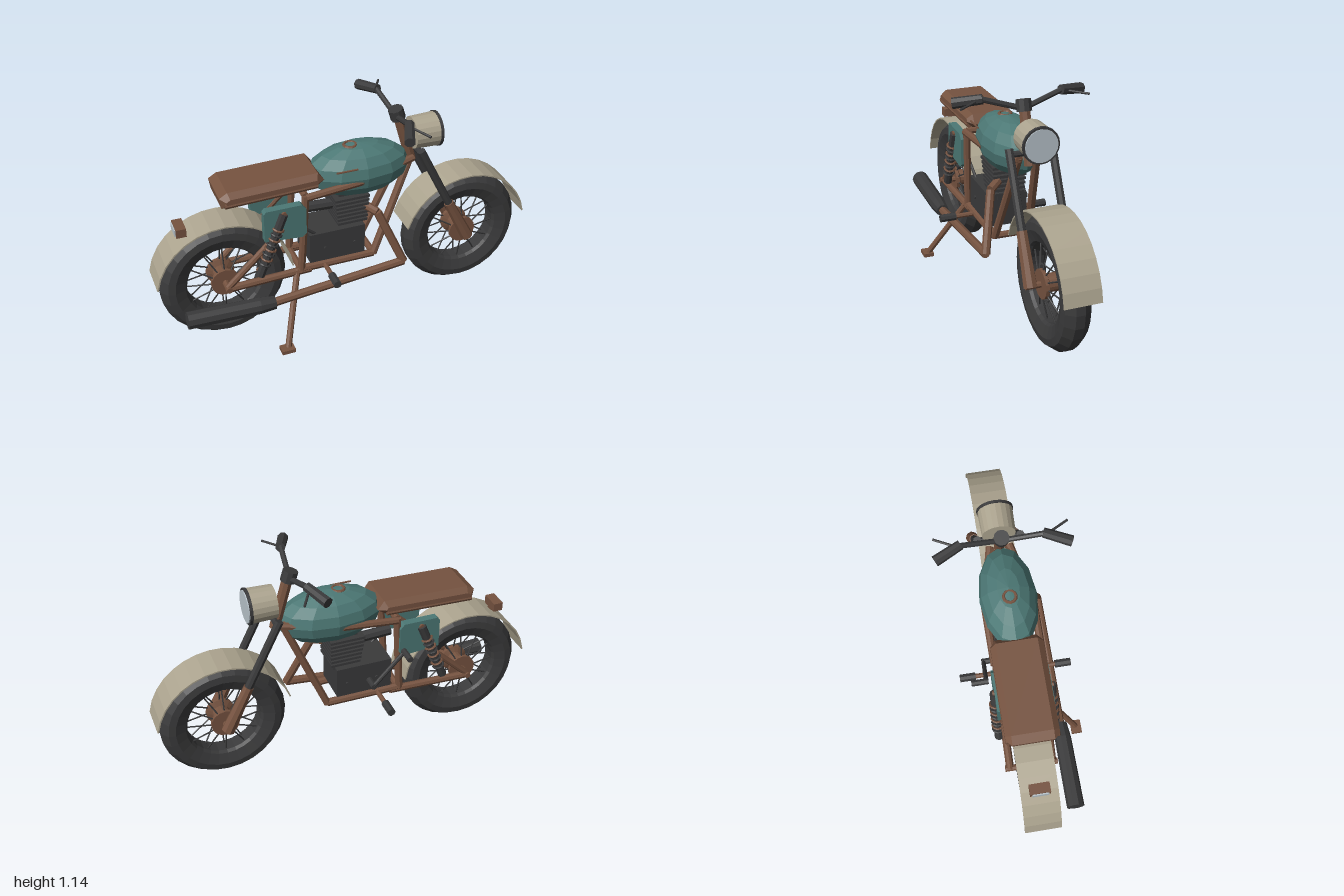
import * as THREE from 'three';

const mat = (name, color, side = THREE.FrontSide) => {
  const m = new THREE.MeshStandardMaterial({ color, flatShading: true, side });
  m.name = name;
  return m;
};

export function createModel() {
  const root = new THREE.Group();
  root.name = 'motorcycle';
  const brown = mat('brown metal', 0x765340);
  const dark = mat('dark rubber', 0x3a3a3b);
  const teal = mat('teal paint', 0x4c7875);
  const cream = mat('cream paint', 0xaca48f, THREE.DoubleSide);
  const glass = mat('pale glass', 0xb9c4cb);
  const V = (p) => new THREE.Vector3(...p);

  const add = (name, geo, material, pos = [0, 0, 0], parent = root) => {
    const m = new THREE.Mesh(geo, material);
    m.name = name;
    m.position.set(...pos);
    parent.add(m);
    return m;
  };
  const box = (name, size, material, pos, parent) =>
    add(name, new THREE.BoxGeometry(...size), material, pos, parent);
  // straight rod between two points
  const rod = (name, a, b, r, material, r2 = r, parent = root, sides = 8) => {
    const A = V(a), B = V(b), d = B.clone().sub(A);
    const m = add(name, new THREE.CylinderGeometry(r2, r, d.length(), sides), material,
      A.clone().add(B).multiplyScalar(0.5).toArray(), parent);
    m.quaternion.setFromUnitVectors(new THREE.Vector3(0, 1, 0), d.normalize());
    return m;
  };
  const pipe = (name, pts, r, material) => {
    for (let i = 0; i + 1 < pts.length; i++) rod(name, pts[i], pts[i + 1], r, material);
  };
  const flip = (p, s) => [p[0], p[1], p[2] * s];
  // solid of revolution around z; profile points are [radius, z]
  const latheZ = (name, pts, seg, material, parent) => {
    const g = new THREE.LatheGeometry(pts.map(([r, z]) => new THREE.Vector2(r, z)), seg);
    g.rotateX(Math.PI / 2);
    return add(name, g, material, [0, 0, 0], parent);
  };

  // wheels and fenders
  for (const [x, label, from, to] of [[0.652, 'front', 10, 163], [-0.652, 'rear', 6, 170]]) {
    const wheel = new THREE.Group();
    wheel.name = label + 'Wheel';
    wheel.position.set(x, 0.332, 0);
    root.add(wheel);
    latheZ('tire', [[0.2, -0.05], [0.255, -0.07], [0.29, -0.064], [0.322, -0.022], [0.322, 0.022],
      [0.29, 0.064], [0.255, 0.07], [0.2, 0.05], [0.19, 0.035], [0.19, -0.035], [0.2, -0.05]], 28, dark, wheel);
    latheZ('hub', [[0, -0.06], [0.073, -0.06], [0.073, -0.042], [0.045, -0.03], [0.045, 0.03],
      [0.073, 0.042], [0.073, 0.06], [0, 0.06]], 16, brown, wheel);
    rod('axle', [0, 0, -0.135], [0, 0, 0.135], 0.016, brown, 0.016, wheel);
    for (const s of [-1, 1]) for (let i = 0; i < 12; i++) {
      const a = i * Math.PI / 6, c = Math.cos(a), n = Math.sin(a);
      rod('spoke', [c * 0.06, n * 0.06, s * 0.05], [c * 0.195, n * 0.195, s * 0.02], 0.004, dark, 0.004, wheel, 5);
    }
    const arc = new THREE.Shape();
    const a0 = THREE.MathUtils.degToRad(from), a1 = THREE.MathUtils.degToRad(to), N = 14;
    for (let i = 0; i <= 2 * N + 1; i++) {
      const outer = i <= N, t = a0 + (a1 - a0) * (outer ? i : 2 * N + 1 - i) / N, r = outer ? 0.35 : 0.343;
      arc[i ? 'lineTo' : 'moveTo'](r * Math.cos(t), r * Math.sin(t));
    }
    add(label + 'Fender', new THREE.ExtrudeGeometry(arc, { depth: 0.184, bevelEnabled: false }), cream,
      [x, 0.332, -0.092]);
  }

  // fuel tank: tapered ellipsoid with a filler ring and a side trim
  const tankGeo = new THREE.SphereGeometry(1, 12, 8);
  const p = tankGeo.attributes.position;
  for (let i = 0; i < p.count; i++) {
    const low = p.getY(i) < 0;
    p.setXYZ(i, p.getX(i) * 0.272, p.getY(i) * (low ? 0.145 : 0.135), p.getZ(i) * 0.143);
  }
  add('fuelTank', tankGeo, teal, [0.075, 0.82, 0]);
  const cap = add('fillerRing', new THREE.TorusGeometry(0.03, 0.008, 6, 12), brown, [0.03, 0.947, 0]);
  cap.rotation.x = Math.PI / 2;
  box('tankTrim', [0.11, 0.006, 0.008], brown, [-0.035, 0.885, 0.137]);

  // seat: side outline with bevelled edges
  const seat = new THREE.Shape();
  [[-0.632, 0.82], [-0.19, 0.838], [-0.175, 0.848], [-0.185, 0.862], [-0.615, 0.85], [-0.635, 0.838]]
    .forEach(([x, y], i) => seat[i ? 'lineTo' : 'moveTo'](x, y));
  add('seat', new THREE.ExtrudeGeometry(seat, { depth: 0.2, bevelThickness: 0.028, bevelSize: 0.025,
    bevelSegments: 1 }), brown, [0, 0, -0.1]);

  // tail light
  box('tailLight', [0.05, 0.045, 0.1], brown, [-0.845, 0.667, 0]);
  box('tailLens', [0.008, 0.034, 0.08], glass, [-0.872, 0.667, 0]);
  box('tailLightBracket', [0.03, 0.03, 0.03], brown, [-0.835, 0.64, 0]);

  // engine
  box('crankcase', [0.295, 0.165, 0.2], dark, [-0.073, 0.448, 0]);
  box('cylinderBarrel', [0.13, 0.2, 0.12], dark, [0.015, 0.61, 0]);
  for (let i = 0; i < 7; i++) {
    const w = 0.158 + i * 0.004;
    box('coolingFin', [w, 0.013, w], dark, [0.018 - i * 0.001, 0.546 + i * 0.024, 0]);
  }
  for (const x of [-0.14, 0.02]) {
    rod('caseBolt', [x, 0.44, 0.095], [x, 0.44, 0.107], 0.008, dark);
    rod('caseBolt', [x, 0.44, -0.095], [x, 0.44, -0.107], 0.008, dark);
  }
  rod('intake', [-0.05, 0.63, 0], [-0.25, 0.64, 0], 0.028, dark);

  // paired parts
  const panel = new THREE.Shape();
  [[-0.462, 0.58], [-0.27, 0.565], [-0.248, 0.585], [-0.248, 0.725], [-0.27, 0.75], [-0.45, 0.75], [-0.462, 0.735]]
    .forEach(([x, y], i) => panel[i ? 'lineTo' : 'moveTo'](x, y));
  for (const s of [-1, 1]) {
    const bar = (name, a, b, r, m, r2 = r) => rod(name, flip(a, s), flip(b, s), r, m, r2);
    // frame
    bar('topRail', [-0.24, 0.77, 0.118], [0.05, 0.8, 0.12], 0.019, brown);
    bar('topRail', [0.05, 0.8, 0.12], [0.35, 0.835, 0.05], 0.019, brown);
    bar('seatRail', [-0.64, 0.815, 0.115], [-0.18, 0.83, 0.115], 0.016, brown);
    bar('seatPost', [-0.24, 0.78, 0.11], [-0.268, 0.335, 0.1], 0.02, brown);
    bar('downTube', [0.335, 0.84, 0.045], [0.125, 0.335, 0.09], 0.02, brown);
    bar('lowerRail', [0.125, 0.338, 0.09], [-0.268, 0.345, 0.1], 0.02, brown);
    bar('swingArm', [-0.22, 0.335, 0.1], [-0.652, 0.328, 0.11], 0.02, brown);
    bar('rearStay', [-0.652, 0.336, 0.11], [-0.25, 0.72, 0.11], 0.017, brown);
    // side panel
    add('sidePanel', new THREE.ExtrudeGeometry(panel, { depth: 0.04, bevelEnabled: false }), teal,
      [0, 0, s > 0 ? 0.1 : -0.14]);
    // rear shock with coils
    const top = [-0.362, 0.72, 0.14], foot = [-0.495, 0.39, 0.14];
    bar('shockBody', foot, top, 0.023, dark);
    bar('shockMount', [-0.362, 0.72, 0.1], [-0.362, 0.72, 0.15], 0.014, brown);
    bar('shockMount', [-0.49, 0.4, 0.1], [-0.49, 0.4, 0.15], 0.014, brown);
    for (let i = 0; i < 8; i++) {
      const c = V(flip(foot, s)).lerp(V(flip(top, s)), 0.2 + i * 0.08);
      const ring = add('shockCoil', new THREE.TorusGeometry(0.027, 0.006, 5, 10), i % 2 ? brown : dark, c.toArray());
      ring.quaternion.setFromUnitVectors(new THREE.Vector3(0, 0, 1), V(top).sub(V(foot)).normalize());
    }
    // front fork
    bar('forkLowerLeg', [0.655, 0.325, 0.11], [0.535, 0.56, 0.108], 0.034, brown, 0.026);
    bar('forkTube', [0.545, 0.54, 0.108], [0.365, 0.9, 0.107], 0.021, dark);
    bar('forkBridge', [0.375, 0.875, 0], [0.375, 0.875, 0.11], 0.016, dark);
    // handlebar, grip and lever
    bar('handlebar', [0.275, 1.055, 0], [0.25, 1.118, 0.205], 0.014, dark);
    bar('grip', [0.255, 1.118, 0.195], [0.2, 1.095, 0.325], 0.024, dark, 0.027);
    bar('lever', [0.25, 1.112, 0.215], [0.31, 1.1, 0.32], 0.006, dark);
    // foot peg
    bar('pegRod', [-0.145, 0.345, 0.08], [-0.145, 0.345, 0.22], 0.013, brown);
    bar('footPeg', [-0.145, 0.345, 0.21], [-0.145, 0.345, 0.293], 0.021, dark);
  }
  rod('frameCrossTube', [-0.268, 0.335, -0.1], [-0.268, 0.335, 0.1], 0.018, brown);
  rod('frameCrossTube', [0.125, 0.338, -0.09], [0.125, 0.338, 0.09], 0.018, brown);
  rod('frameCrossTube', [-0.24, 0.775, -0.11], [-0.24, 0.775, 0.11], 0.018, brown);

  // steering head
  rod('steeringStem', [0.36, 0.8, 0], [0.285, 1.06, 0], 0.028, brown);
  rod('handlebarClamp', [0.285, 1.045, 0], [0.268, 1.1, 0], 0.038, dark, 0.038, root, 10);

  // headlight
  rod('headlightShell', [0.358, 0.95, 0], [0.49, 0.95, 0], 0.083, cream, 0.087, root, 20);
  rod('headlightRim', [0.484, 0.95, 0], [0.498, 0.95, 0], 0.091, dark, 0.091, root, 20);
  rod('headlightGlass', [0.495, 0.95, 0], [0.503, 0.95, 0], 0.081, glass, 0.081, root, 20);

  // exhaust
  pipe('exhaustPipe', [[0.09, 0.62, 0.06], [0.135, 0.6, 0.115], [0.255, 0.315, 0.185], [-0.46, 0.243, 0.19]], 0.022, brown);
  rod('muffler', [-0.44, 0.243, 0.19], [-0.52, 0.245, 0.19], 0.034, dark, 0.043, root, 10);
  rod('muffler', [-0.52, 0.245, 0.19], [-0.885, 0.256, 0.19], 0.043, dark, 0.045, root, 10);

  // side stand
  rod('sideStand', [-0.29, 0.345, 0.1], [-0.41, 0.02, 0.288], 0.016, brown);
  box('standFoot', [0.07, 0.02, 0.055], brown, [-0.415, 0.014, 0.292]);

  // kick starter
  rod('kickPivot', [-0.1, 0.43, -0.09], [-0.1, 0.43, -0.17], 0.016, dark);
  rod('kickArm', [-0.1, 0.43, -0.16], [-0.262, 0.605, -0.165], 0.011, dark);
  rod('kickPedal', [-0.262, 0.605, -0.155], [-0.262, 0.605, -0.24], 0.016, dark);

  // control cable
  rod('cable', [-0.27, 0.6, 0.09], [-0.18, 0.52, 0.08], 0.008, dark);
  return root;
}
